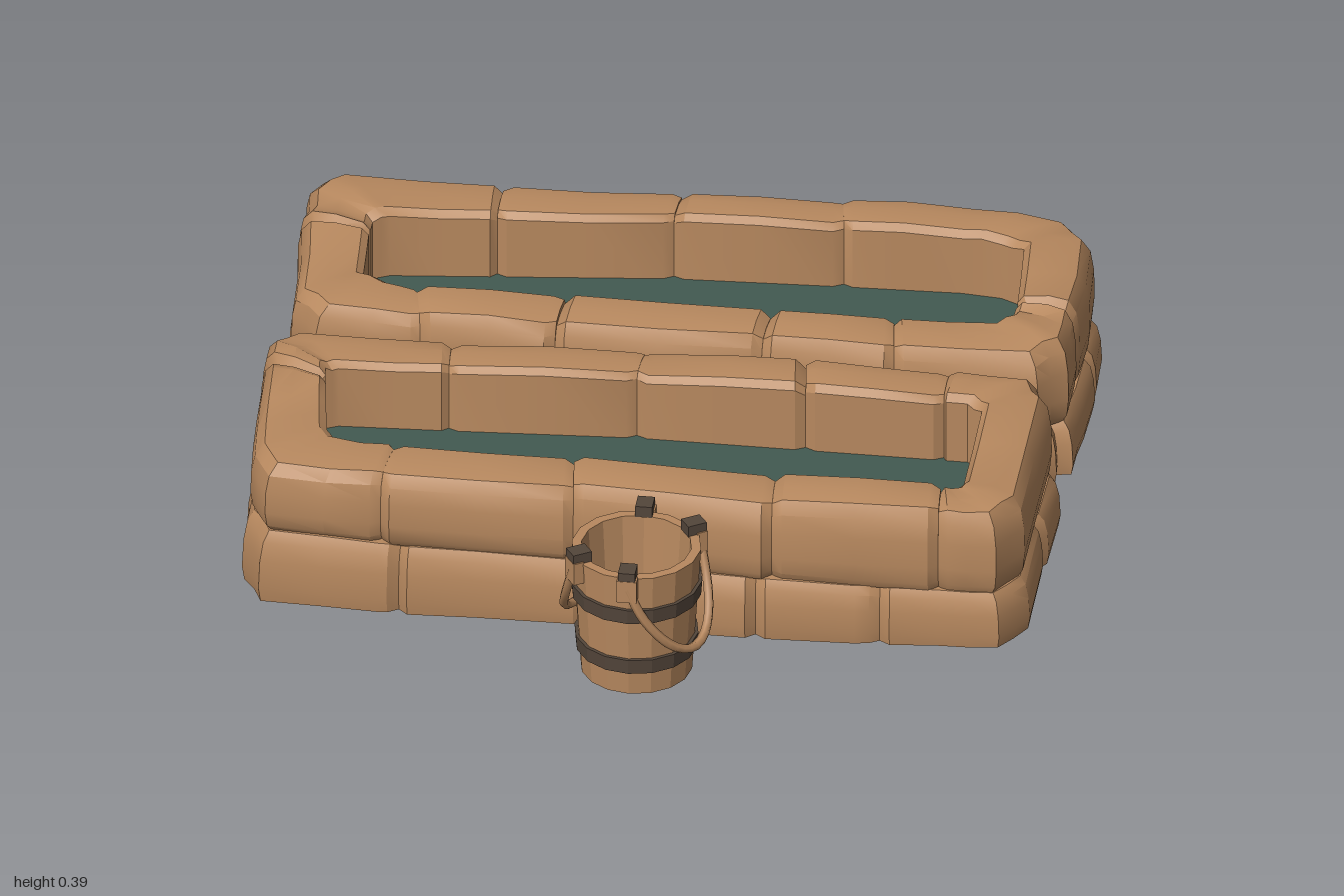
import * as THREE from 'three';
import { toCreasedNormals } from 'three/addons/utils/BufferGeometryUtils.js';

const mat = (name, color) => {
  const m = new THREE.MeshStandardMaterial({ color });
  m.name = name;
  return m;
};

// Plan of each wall ring: [outer x, outer z, inner x, inner z]
const FRONT = {
  ring: [
    [-0.90, 0.54, -0.76, 0.36], [-0.62, 0.555, -0.60, 0.385], [-0.14, 0.55, -0.16, 0.385],
    [0.35, 0.55, 0.34, 0.39], [0.76, 0.53, 0.75, 0.39], [0.90, 0.515, 0.79, 0.385],
    [0.955, 0.42, 0.80, 0.36], [0.965, -0.05, 0.80, 0.03], [0.92, -0.13, 0.76, 0],
    [0.70, -0.15, 0.70, 0], [0.34, -0.155, 0.36, 0], [-0.05, -0.14, -0.06, 0],
    [-0.53, -0.11, -0.52, 0.03], [-0.93, -0.12, -0.79, 0.045], [-0.98, -0.05, -0.82, 0.06],
    [-0.97, 0.22, -0.80, 0.20], [-0.95, 0.45, -0.78, 0.33],
  ],
  upper: [1, 2, 3, 4, 9, 10, 11, 12, 14.3],
  lower: [1.1, 2.05, 2.92, 3.65, 6.57, 8.5, 9.6, 10.6, 11.6, 12.5, 15.2],
};
const BACK = {
  ring: [
    [-0.88, -0.205, -0.72, -0.36], [-0.62, -0.19, -0.65, -0.34], [-0.29, -0.19, -0.28, -0.35],
    [0.22, -0.20, 0.23, -0.35], [0.55, -0.205, 0.53, -0.36], [0.90, -0.23, 0.77, -0.38],
    [0.965, -0.30, 0.81, -0.41], [0.975, -0.46, 0.82, -0.46], [0.97, -0.78, 0.80, -0.73],
    [0.90, -0.88, 0.74, -0.76], [0.66, -0.915, 0.64, -0.77], [0.33, -0.90, 0.35, -0.76],
    [-0.06, -0.875, -0.07, -0.74], [-0.50, -0.85, -0.50, -0.69], [-0.92, -0.85, -0.76, -0.66],
    [-0.98, -0.78, -0.80, -0.64], [-0.975, -0.62, -0.80, -0.58], [-0.95, -0.28, -0.79, -0.40],
  ],
  upper: [1, 2, 3, 4, 7, 11, 12, 13, 16],
  lower: [1.2, 2.3, 3.2, 4.3, 5.7, 7.5, 9.6, 10.6, 11.5, 12.5, 13.5, 16.4],
};

// Wall cross-sections: u runs from inside to outside, v from bottom to top
const UPPER_SECTION = [[0, 0], [0.90, 0], [0.98, 0.10], [1.01, 0.30], [1, 0.60],
  [0.95, 0.82], [0.82, 0.96], [0.5, 1], [0.1, 0.98], [0, 0.9]];
const LOWER_SECTION = [[0, 0], [1.07, 0], [1.10, 0.2], [1.08, 0.6], [1.03, 0.86], [0.94, 1], [0, 1]];

let seed = 7;
const rand = () => {
  seed = (seed * 16807) % 2147483647;
  return seed / 2147483647 - 0.5;
};

// Position on a ring at a fractional index
function ringAt(ring, t) {
  const i = Math.floor(t), n = ring.length;
  const a = ring[i % n], b = ring[(i + 1) % n];
  return a.map((v, k) => v + (b[k] - v) * (t - i));
}

// One stone lofted along the ring from t0 to t1, pinched at its ends
function stoneGeometry(ring, t0, t1, section, upper) {
  const span = (t) => {
    const a = ringAt(ring, Math.floor(t)), b = ringAt(ring, Math.floor(t) + 1);
    return Math.hypot(b[0] - a[0], b[1] - a[1]);
  };
  const d0 = Math.min(0.025 / span(t0), 0.25), d1 = Math.min(0.025 / span(t1 - 1e-4), 0.25);
  const stops = [[t0, 1], [t0 + d0, 0]];
  for (let t = Math.ceil((t0 + d0) * 2 + 0.1) / 2; t < t1 - d1 - 0.04; t += 0.5) stops.push([t, 0]);
  stops.push([t1 - d1, 0], [t1, 1]);

  const pos = [], idx = [], m = section.length;
  for (const [t, end] of stops) {
    const [ox, oz, ix, iz] = ringAt(ring, t);
    const seam = 0.165 - 0.025 * ox;
    const y0 = upper ? seam : 0;
    const y1 = upper ? 0.385 + rand() * 0.016 : seam + 0.004;
    const bulge = 1 + rand() * 0.06;
    for (const [u, v] of section) {
      let uu = u > 0.6 ? u * bulge : u, vv = v;
      if (end) {
        uu = 0.5 + (u - 0.5) * 0.82;
        vv = upper ? 0.4 + (v - 0.4) * 0.93 : v * 0.94;
      }
      pos.push(ix + (ox - ix) * uu, y0 + (y1 - y0) * vv, iz + (oz - iz) * uu);
    }
  }
  const last = (stops.length - 1) * m;
  for (let i = 0; i < last; i += m) {
    for (let j = 0; j < m; j++) {
      const k = (j + 1) % m;
      idx.push(i + j, i + m + j, i + k, i + m + j, i + m + k, i + k);
    }
  }
  for (let j = 1; j < m - 1; j++) idx.push(0, j, j + 1, last, last + j + 1, last + j);
  const g = new THREE.BufferGeometry();
  g.setAttribute('position', new THREE.Float32BufferAttribute(pos, 3));
  g.setIndex(idx);
  return toCreasedNormals(g, 0.5);
}

// Horizontal slab following the ring at fraction u of the wall thickness
function slabGeometry(ring, u, y, h) {
  const shape = new THREE.Shape(ring.map(([ox, oz, ix, iz]) =>
    new THREE.Vector2(ix + (ox - ix) * u, -(iz + (oz - iz) * u))));
  return new THREE.ExtrudeGeometry(shape, { depth: h, bevelEnabled: false })
    .rotateX(-Math.PI / 2).translate(0, y, 0);
}

function flat(g) {
  const f = g.index ? g.toNonIndexed() : g;
  f.computeVertexNormals();
  return f;
}

export function createModel() {
  const brown = mat('warm brown', 0xb8895f);
  const teal = mat('dark teal water', 0x425a51);
  const iron = mat('dark iron', 0x54463b);
  const model = new THREE.Group();
  model.name = 'stoneTroughsAndBucket';
  const add = (parent, name, geometry, material) => {
    const mesh = new THREE.Mesh(geometry, material);
    mesh.name = name;
    parent.add(mesh);
    return mesh;
  };

  // Two stone troughs, each with two courses, a floor and water
  for (const [name, plan] of [['frontTrough', FRONT], ['backTrough', BACK]]) {
    const trough = new THREE.Group();
    trough.name = name;
    for (const course of ['lower', 'upper']) {
      const seams = plan[course], upper = course === 'upper';
      seams.forEach((t, i) => {
        const next = i + 1 < seams.length ? seams[i + 1] : seams[0] + plan.ring.length;
        add(trough, course + 'Stone' + (i + 1), stoneGeometry(plan.ring, t, next,
          upper ? UPPER_SECTION : LOWER_SECTION, upper), brown);
      });
    }
    add(trough, 'floor', slabGeometry(plan.ring, 0.6, 0, 0.03), brown);
    add(trough, 'water', slabGeometry(plan.ring, 0.15, 0.19, 0.008), teal);
    model.add(trough);
  }

  // Bucket body
  const bucket = new THREE.Group();
  bucket.name = 'bucket';
  bucket.position.set(0.04, 0, 0.72);
  const profile = [[0, 0], [0.138, 0], [0.16, 0.345], [0.136, 0.345], [0.118, 0.08], [0, 0.08]];
  add(bucket, 'body', flat(new THREE.LatheGeometry(
    profile.map(([x, y]) => new THREE.Vector2(x, y)), 16)), brown);

  // Iron hoops
  for (const y of [0.085, 0.235]) {
    const r = 0.138 + 0.022 * y / 0.345;
    const hoop = [[r - 0.01, -0.02], [r + 0.007, -0.02], [r + 0.01, 0.02], [r - 0.01, 0.02]];
    add(bucket, 'hoop', flat(new THREE.LatheGeometry(
      hoop.map(([x, h]) => new THREE.Vector2(x, y + h)), 16)), iron);
  }

  // Dark stain on the bucket floor
  const stain = new THREE.Shape([[-0.09, 0.03], [-0.04, 0.06], [0, 0.03], [-0.01, -0.02], [0.05, -0.03],
    [0.08, -0.06], [0.01, -0.1], [-0.07, -0.08], [-0.08, -0.05], [-0.04, -0.03]]
    .map(([x, y]) => new THREE.Vector2(x, y)));
  add(bucket, 'stain', new THREE.ShapeGeometry(stain).rotateX(-Math.PI / 2).translate(0, 0.083, 0), iron);

  // Two hanging handles, each between a pair of rim brackets
  for (const turn of [0, Math.PI]) {
    const from = Math.PI / 2 + turn, to = -0.58 + turn;
    for (const a of [from, to]) {
      const bracket = new THREE.Group();
      bracket.name = 'rimBracket';
      bracket.rotation.y = -a;
      add(bracket, 'block', new THREE.BoxGeometry(0.028, 0.06, 0.05).translate(0.168, 0.32, 0), brown);
      add(bracket, 'clip', new THREE.BoxGeometry(0.05, 0.03, 0.042).translate(0.156, 0.358, 0), iron);
      bucket.add(bracket);
    }
    const points = [];
    for (let i = 0; i <= 10; i++) {
      const t = i / 10, a = from + (to - from) * t;
      const sag = Math.pow(Math.max(0, Math.sin(Math.PI * t)), 0.8);
      const r = 0.172 + 0.008 * sag;
      points.push(new THREE.Vector3(r * Math.cos(a), 0.325 - 0.205 * sag, r * Math.sin(a)));
    }
    add(bucket, 'handle', new THREE.TubeGeometry(new THREE.CatmullRomCurve3(points), 24, 0.012, 6), brown);
  }
  model.add(bucket);
  return model;
}
